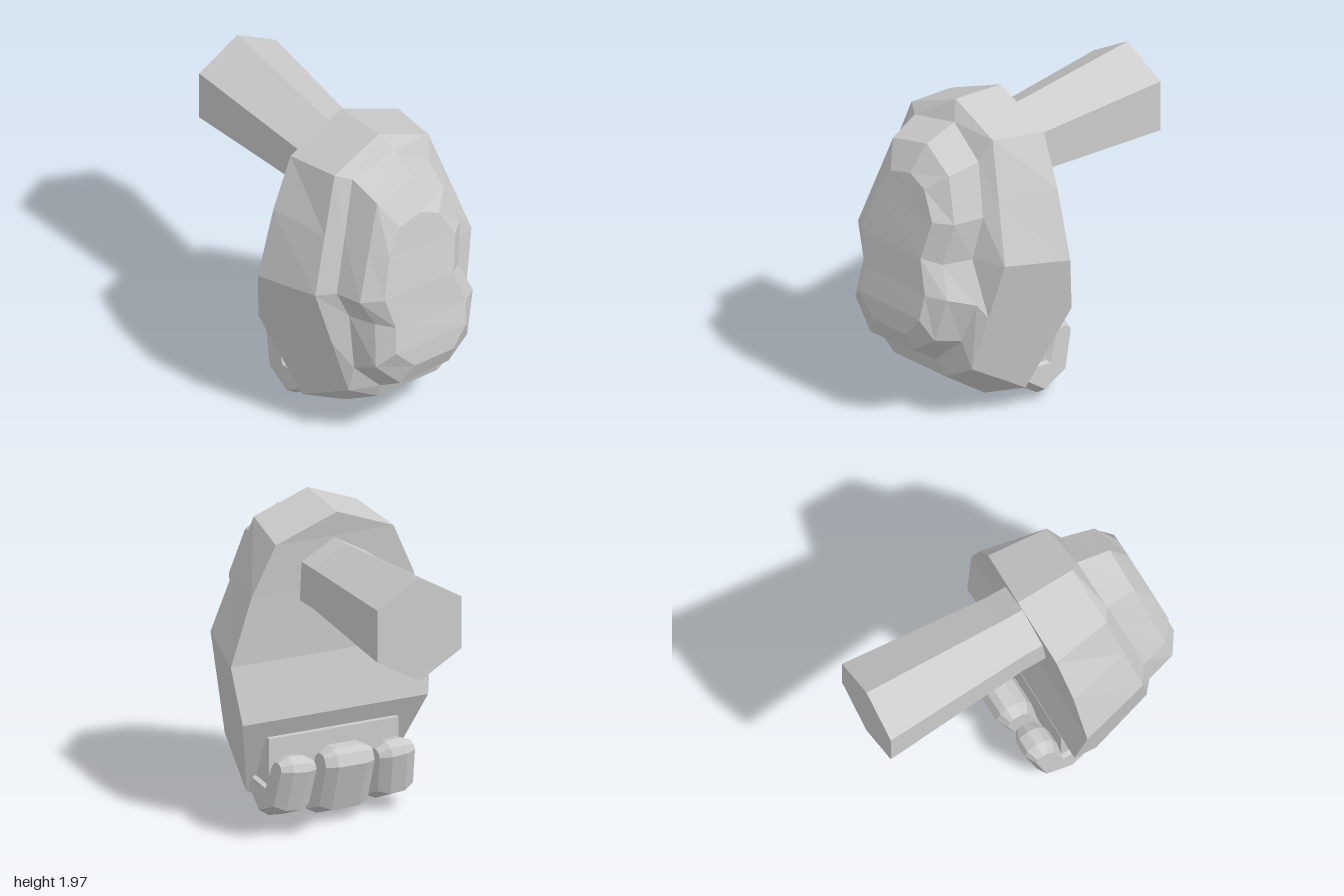
import * as THREE from 'three';

const mat = new THREE.MeshStandardMaterial({ color: 0xcccccc, flatShading: true });

// Skin over rings of [x, y, z] points (ordered anticlockwise seen from +x), capped at both ends
function loft(rings) {
  const pos = [];
  const quad = (a, b, c, d) => {
    pos.push(...a, ...b, ...c);
    if (d !== a && d !== c && c !== b) pos.push(...a, ...c, ...d);
  };
  const n = rings[0].length;
  for (let r = 0; r < rings.length - 1; r++) {
    const p = rings[r], q = rings[r + 1];
    for (let i = 0; i < n; i++) {
      const j = (i + 1) % n;
      quad(p[i], p[j], q[j], q[i]);
    }
  }
  const first = [...rings[0]];
  first.reverse().unshift(first.pop());
  for (const p of [first, rings[rings.length - 1]]) {
    for (let i = 0; i < (n - 1) / 2; i++) {
      const c = p[n - 1 - i], d = p[(n - i) % n];
      if (c === p[i + 1]) pos.push(...p[i], ...c, ...d);
      else quad(p[i], p[i + 1], c, d);
    }
  }
  const g = new THREE.BufferGeometry();
  g.setAttribute('position', new THREE.Float32BufferAttribute(pos, 3));
  g.computeVertexNormals();
  return g;
}

// Half ring (top point first) mirrored across z
const mirrored = (half) => [
  ...half,
  ...half.slice(1).reverse().map(([x, y, z]) => [x, y, -z]),
];

function add(group, name, geometry) {
  const mesh = new THREE.Mesh(geometry, mat);
  mesh.name = name;
  group.add(mesh);
  return mesh;
}

export function createModel() {
  const group = new THREE.Group();
  group.name = 'footWithLeg';

  // Main slab of the foot
  const back = mirrored([
    [0.06, 1.93, 0], [0.09, 1.77, 0.40], [0.12, 1.45, 0.55], [0.14, 1.02, 0.68],
    [0.08, 0.66, 0.63], [0.32, 0.15, 0.48], [0.41, 0.05, 0.22],
  ]);
  const rim = mirrored([
    [0.44, 1.97, 0], [0.47, 1.83, 0.35], [0.53, 1.465, 0.465], [0.59, 1.10, 0.58],
    [0.65, 0.745, 0.50], [0.71, 0.39, 0.42], [0.74, 0.28, 0.22],
  ]);
  // Raised sole pad with an uneven waist
  const padBase = [
    [0.51, 1.86, -0.06], [0.53, 1.80, 0.26], [0.60, 1.45, 0.37], [0.66, 1.11, 0.47],
    [0.69, 0.93, 0.40], [0.74, 0.57, 0.40], [0.77, 0.38, 0.23], [0.77, 0.39, -0.17],
    [0.74, 0.57, -0.36], [0.70, 0.83, -0.45], [0.66, 1.10, -0.37], [0.60, 1.37, -0.40],
    [0.54, 1.69, -0.30],
  ];
  const padEdge = [
    [0.73, 1.79, -0.05], [0.74, 1.73, 0.23], [0.79, 1.43, 0.33], [0.84, 1.13, 0.43],
    [0.87, 0.95, 0.34], [0.92, 0.67, 0.37], [0.95, 0.50, 0.21], [0.95, 0.51, -0.15],
    [0.92, 0.62, -0.31], [0.88, 0.90, -0.38], [0.84, 1.10, -0.30], [0.79, 1.37, -0.35],
    [0.75, 1.65, -0.26],
  ];
  const padTop = [
    [0.84, 1.62, -0.02], [0.85, 1.58, 0.14], [0.88, 1.42, 0.24], [0.93, 1.15, 0.31],
    [0.96, 0.94, 0.25], [0.99, 0.77, 0.27], [1.00, 0.63, 0.14], [1.00, 0.63, -0.15],
    [0.99, 0.76, -0.25], [0.96, 0.92, -0.27], [0.93, 1.14, -0.20], [0.88, 1.38, -0.25],
    [0.85, 1.56, -0.15],
  ];
  add(group, 'foot', loft([back, rim, padBase, padEdge, padTop]));

  // Six-sided leg, flaring towards its far end
  const hexagon = (x, r) => Array.from({ length: 6 }, (_, i) => {
    const a = (i * Math.PI) / 3;
    return [x, 1.507 + r * Math.cos(a), r * Math.sin(a)];
  });
  add(group, 'leg', loft([hexagon(-1, 0.33), hexagon(-0.04, 0.252), hexagon(0.2, 0.252)]));

  // Ledge joining the toes to the foot
  const ledge = add(group, 'toeLedge', new THREE.BoxGeometry(0.22, 0.32, 0.88));
  ledge.position.set(0.21, 0.38, 0);

  // Hooked toes: bevelled side profiles
  const toeGeometry = (points, width) => {
    const shape = new THREE.Shape(points.map(([x, y]) => new THREE.Vector2(x, y)));
    const b = 0.07;
    const g = new THREE.ExtrudeGeometry(shape, {
      depth: width - 2 * b, bevelEnabled: true, bevelThickness: b,
      bevelSize: 0.035, bevelOffset: -0.035, bevelSegments: 1,
    });
    return g.translate(0, 0, b - width / 2);
  };
  add(group, 'middleToe', toeGeometry([
    [0.36, 0.20], [0.31, 0.14], [0.15, 0], [-0.05, 0.08], [-0.15, 0.38], [-0.12, 0.45],
    [-0.08, 0.48], [0, 0.48], [0.06, 0.43], [0.12, 0.25], [0.30, 0.28],
  ], 0.33));
  for (const s of [1, -1]) {
    const toe = add(group, s > 0 ? 'leftToe' : 'rightToe', toeGeometry([
      [0.40, 0.20], [0.33, 0.15], [0.16, 0.03], [-0.05, 0.12], [-0.12, 0.38], [-0.10, 0.43],
      [-0.04, 0.46], [0.02, 0.45], [0.07, 0.40], [0.12, 0.26], [0.30, 0.28],
    ], 0.24));
    toe.position.z = s * 0.365;
    toe.rotation.x = -s * 0.08;
  }

  return group;
}
